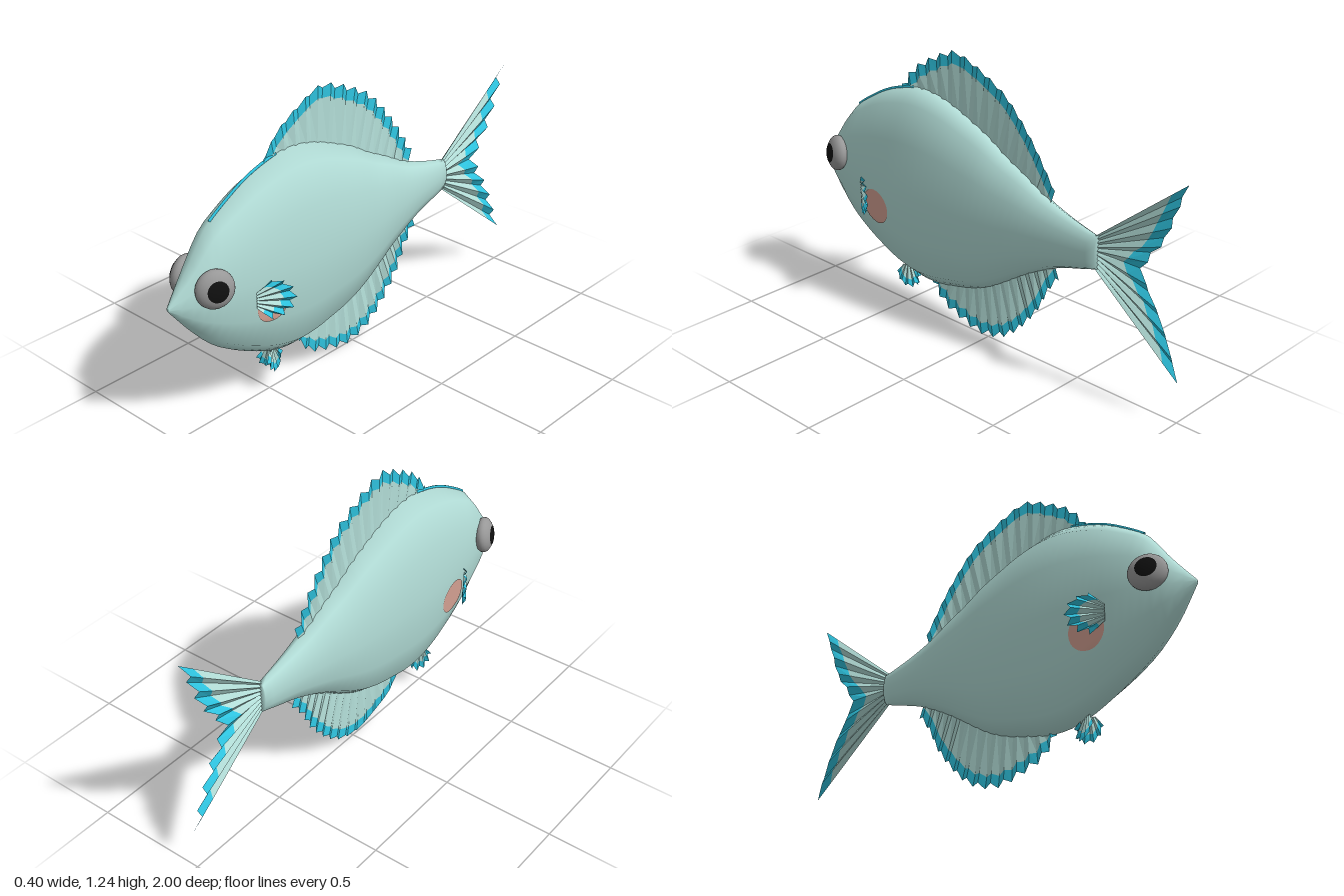
import * as THREE from 'three';

const V = (x, y, z) => new THREE.Vector3(x, y, z);
const material = (name, color, side = THREE.DoubleSide) => {
  const m = new THREE.MeshStandardMaterial({ color, side });
  m.name = name;
  return m;
};
const SIDES = 12;

// Body profile [top, bottom, half width], every 0.1 from the nose (z = 1) to the tail root (z = -0.6)
const profile = new THREE.CatmullRomCurve3([
  [0.6, 0.58, 0.008], [0.72, 0.455, 0.065], [0.855, 0.35, 0.092], [0.925, 0.28, 0.11],
  [0.98, 0.225, 0.12], [1.015, 0.18, 0.126], [1.035, 0.155, 0.129], [1.03, 0.155, 0.129],
  [1.005, 0.175, 0.125], [0.965, 0.2, 0.119], [0.92, 0.24, 0.11], [0.86, 0.3, 0.098],
  [0.81, 0.365, 0.083], [0.755, 0.42, 0.067], [0.715, 0.465, 0.052], [0.685, 0.495, 0.038],
  [0.66, 0.525, 0.024],
].map((p) => V(...p)), false, 'catmullrom', 0.5);

function section(z) {
  const p = profile.getPoint((1 - z) / 1.6);
  return { top: p.x, bottom: p.y, width: p.z, mid: (p.x + p.y) / 2, half: (p.x - p.y) / 2 };
}

// Half width of the twelve-sided body at a height
function surfaceX(y, z) {
  const s = section(z);
  const step = (Math.PI * 2) / SIDES;
  const n = THREE.MathUtils.clamp((y - s.mid) / s.half, -0.999, 0.999);
  const a = Math.floor(Math.acos(n) / step) * step;
  const t = (Math.cos(a) - n) / (Math.cos(a) - Math.cos(a + step));
  return s.width * THREE.MathUtils.lerp(Math.sin(a), Math.sin(a + step), t);
}

function geometry(points, index) {
  const g = new THREE.BufferGeometry().setFromPoints(points);
  g.setIndex(index);
  return g;
}

// Smooth body, lofted from nose to tail root
function bodyGeometry() {
  const rings = 40, pts = [], idx = [];
  for (let i = 0; i <= rings; i++) {
    const z = 1 - (1.585 * i) / rings;
    const s = section(z);
    for (let j = 0; j < SIDES; j++) {
      const a = (j / SIDES) * Math.PI * 2;
      pts.push(V(s.width * Math.sin(a), s.mid + s.half * Math.cos(a), z));
    }
  }
  for (let i = 0; i < rings; i++) {
    for (let j = 0; j < SIDES; j++) {
      const k = (j + 1) % SIDES;
      const a = i * SIDES + j, b = i * SIDES + k;
      idx.push(a, b, a + SIDES, b, b + SIDES, a + SIDES);
    }
  }
  // End caps
  const last = rings * SIDES;
  for (let j = 1; j < SIDES - 1; j++) {
    idx.push(0, j + 1, j, last, last + j, last + j + 1);
  }
  const g = geometry(pts, idx);
  g.computeVertexNormals();
  return g;
}

// Pleated fin between a base line and a toothed tip line, with a coloured trim
function makeFin(name, base, tip, o, mats) {
  const baseCurve = new THREE.CatmullRomCurve3(base);
  const tipCurve = new THREE.CatmullRomCurve3(tip);
  const rows = [[], [], []];
  for (let i = 0; i <= o.teeth * 2; i++) {
    const t = i / (o.teeth * 2);
    const b = baseCurve.getPointAt(t);
    const e = tipCurve.getPointAt(t);
    const ray = e.clone().sub(b);
    const length = ray.length();
    ray.normalize();
    const valley = i % 2;
    const fold = o.normal.clone().multiplyScalar(valley ? -o.pleat : o.pleat);
    const end = length - (valley ? o.notch : 0);
    const mid = Math.max(length * 0.3, end - o.band + (valley ? o.notch * 0.5 : 0));
    rows[0].push(b.clone().addScaledVector(fold, 0.5));
    rows[1].push(b.clone().addScaledVector(ray, Math.min(mid, end)).add(fold));
    rows[2].push(b.clone().addScaledVector(ray, end).add(fold));
  }
  const group = new THREE.Group();
  group.name = name;
  ['Membrane', 'Trim'].forEach((part, r) => {
    const n = rows[0].length, idx = [];
    for (let i = 0; i < n - 1; i++) idx.push(i, i + 1, n + i, i + 1, n + i + 1, n + i);
    const g = geometry([...rows[r], ...rows[r + 1]], idx).toNonIndexed();
    g.computeVertexNormals();
    const mesh = new THREE.Mesh(g, mats[r]);
    mesh.name = name + part;
    group.add(mesh);
  });
  return group;
}

// Small fan fin laid out along u (outward) and v (spread)
function makeFan(name, origin, u, v, scale, teeth, mats) {
  u.normalize();
  v.normalize();
  const at = ([a, b]) => origin.clone().addScaledVector(u, a * scale).addScaledVector(v, b * scale);
  const base = [[0, 0.035], [0, 0], [0, -0.035]].map(at);
  const tip = [[0.06, 0.088], [0.115, 0.072], [0.152, 0.03], [0.152, -0.03], [0.115, -0.072], [0.06, -0.088]].map(at);
  const normal = u.clone().cross(v).normalize();
  return makeFin(name, base, tip, { teeth, pleat: 0.008 * scale, notch: 0.025 * scale, band: 0.05 * scale, normal }, mats);
}

export function createModel() {
  const model = new THREE.Group();
  model.name = 'fish';
  const skin = material('paleAqua', 0xb4dfd9);
  const blue = material('brightBlue', 0x2fc6e2);
  const grey = material('eyeGrey', 0x989898);
  const black = material('pupilBlack', 0x101010);
  const pink = material('cheekPink', 0xd9a596);
  const fins = [skin, blue];
  const add = (name, geo, mat) => {
    const m = new THREE.Mesh(geo, mat);
    m.name = name;
    model.add(m);
    return m;
  };

  add('body', bodyGeometry(), skin);

  // Blue ridge along the forehead
  const ridge = [];
  for (let z = 0.78; z > 0.39; z -= 0.05) ridge.push(V(0, section(z).top, z));
  add('foreheadRidge', new THREE.TubeGeometry(new THREE.CatmullRomCurve3(ridge), 24, 0.006, 6), blue);

  // Upper, lower and tail fins, all in the middle plane
  const flat = (list) => list.map(([z, y]) => V(0, y, z));
  const along = (z0, z1, edge, sink) => Array.from({ length: 9 }, (_, i) => {
    const z = THREE.MathUtils.lerp(z0, z1, i / 8);
    return V(0, section(z)[edge] + sink, z);
  });
  const normal = V(1, 0, 0);
  model.add(makeFin('dorsalFin', along(0.5, -0.34, 'top', -0.02), flat([
    [0.5, 1.03], [0.43, 1.12], [0.3, 1.2], [0.185, 1.245], [0.09, 1.22], [0, 1.18], [-0.09, 1.13],
    [-0.165, 1.06], [-0.25, 0.96], [-0.305, 0.88], [-0.365, 0.79],
  ]), { teeth: 15, pleat: 0.006, notch: 0.024, band: 0.055, normal }, fins));
  model.add(makeFin('analFin', along(0.33, -0.37, 'bottom', 0.02), flat([
    [0.33, 0.15], [0.29, 0.09], [0.25, 0.06], [0.165, 0.03], [0.045, 0.002], [-0.07, 0.025],
    [-0.155, 0.08], [-0.23, 0.16], [-0.29, 0.24], [-0.34, 0.34], [-0.395, 0.41],
  ]), { teeth: 14, pleat: 0.006, notch: 0.022, band: 0.05, normal }, fins));
  model.add(makeFin('tailFin', flat([[-0.57, 0.66], [-0.58, 0.59], [-0.57, 0.525]]), flat([
    [-1, 1], [-0.95, 0.86], [-0.91, 0.75], [-0.84, 0.65], [-0.815, 0.59], [-0.84, 0.53],
    [-0.9, 0.43], [-0.95, 0.32], [-1, 0.18],
  ]), { teeth: 9, pleat: 0.009, notch: 0.03, band: 0.095, normal }, fins));

  for (const [side, s] of [['left', 1], ['right', -1]]) {
    // Side and belly fins
    model.add(makeFan(side + 'PectoralFin', V(s * 0.115, 0.53, 0.66), V(s * 0.085, 0, -0.13), V(0, 1, 0), 1, 6, fins));
    model.add(makeFan(side + 'PelvicFin', V(s * 0.008, 0.185, 0.485), V(s * 0.12, -0.95, -0.15), V(s * 0.35, 0, 0.9), 0.67, 5, fins));

    // Flattened eye with a pupil cap
    const eye = new THREE.Group();
    eye.name = side + 'Eye';
    eye.position.set(s * 0.088, 0.647, 0.843);
    eye.quaternion.setFromUnitVectors(V(0, 1, 0), V(s * 0.92, 0.13, 0.36).normalize());
    const ball = new THREE.Mesh(new THREE.SphereGeometry(0.079, 24, 16).scale(1, 0.53, 1), grey);
    ball.name = side + 'Eyeball';
    const pupil = new THREE.Mesh(
      new THREE.SphereGeometry(0.0805, 24, 8, 0, Math.PI * 2, 0, 0.56).scale(1, 0.54, 1), black);
    pupil.name = side + 'Pupil';
    eye.add(ball, pupil);
    model.add(eye);

    // Round cheek patch wrapped on the body
    const disc = new THREE.RingGeometry(0.001, 0.08, 28, 6);
    const p = disc.attributes.position;
    for (let i = 0; i < p.count; i++) {
      const z = 0.57 - s * p.getX(i), y = 0.478 + p.getY(i);
      p.setXYZ(i, s * (surfaceX(y, z) + 0.004), y, z);
    }
    disc.computeVertexNormals();
    add(side + 'Cheek', disc, pink);
  }
  return model;
}
